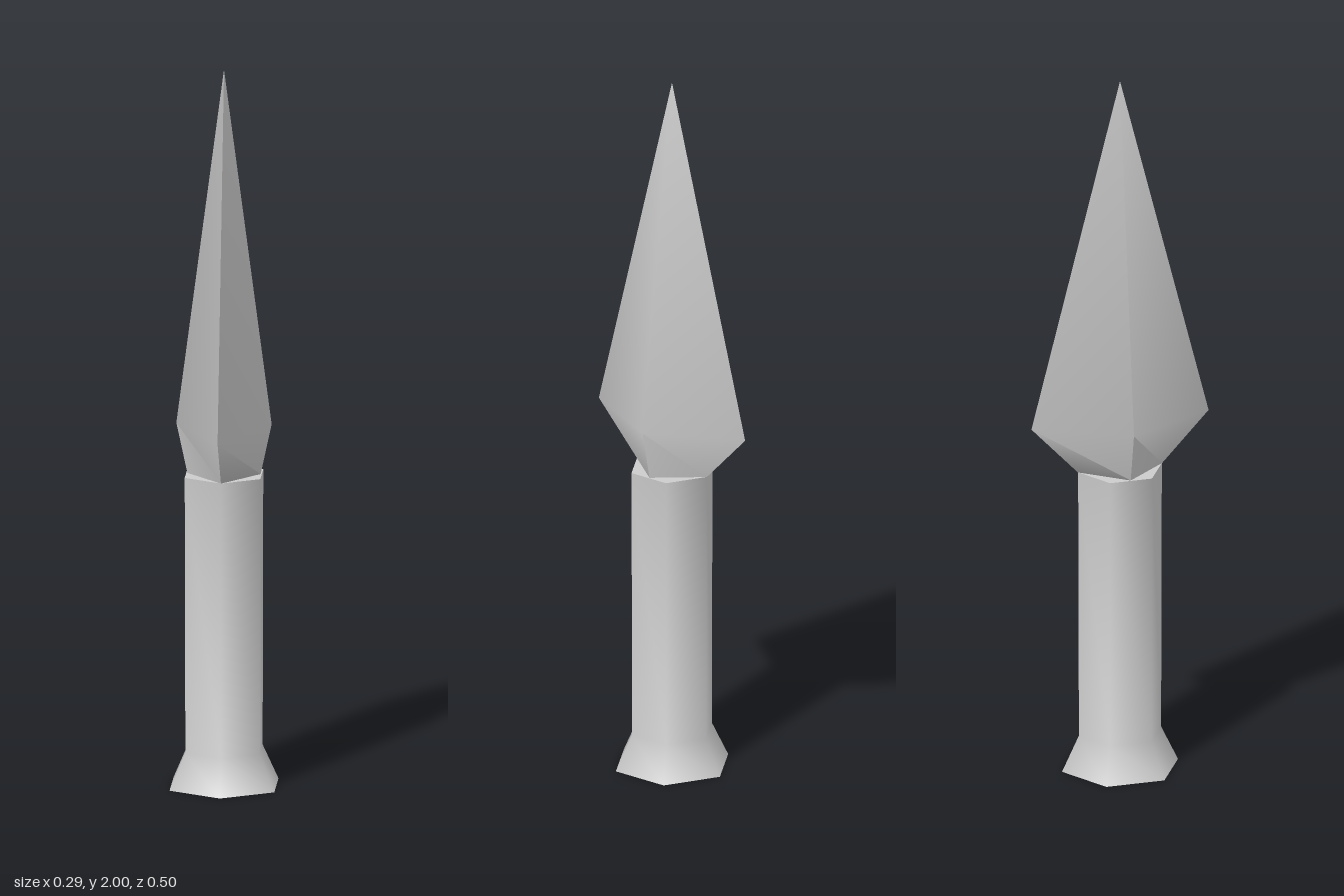
import * as THREE from 'three';
import { toCreasedNormals } from 'three/addons/utils/BufferGeometryUtils.js';

const CREASE = 1.1;

// Faceted solid of revolution; profile is [radius, height] from bottom to top
function faceted(profile, sides) {
  return new THREE.LatheGeometry(profile.map(([r, y]) => new THREE.Vector2(r, y)), sides);
}

export function createModel() {
  const group = new THREE.Group();
  group.name = 'spearHead';
  const material = new THREE.MeshStandardMaterial({ color: 0xcccccc });

  function add(name, geometry) {
    const mesh = new THREE.Mesh(toCreasedNormals(geometry, CREASE), material);
    mesh.name = name;
    group.add(mesh);
  }

  // Hexagonal socket with a flared foot
  add('socket', faceted([[0, 0], [0.165, 0], [0.117, 0.1], [0.119, 0.87], [0, 0.87]], 6));

  // Four-sided blade: the diamond section is wide in z and slim in x
  const blade = faceted([[0, 0.87], [0.12, 0.87], [0.252, 1.01], [0, 2]], 4);
  const pos = blade.attributes.position;
  for (let i = 0; i < pos.count; i++) {
    const slimness = pos.getY(i) < 0.9 ? 0.1 / 0.12 : 0.13 / 0.252;
    pos.setX(i, pos.getX(i) * slimness);
  }
  add('blade', blade);

  // Slight twist about the shaft
  group.children.forEach((part) => { part.rotation.y = 0.03; });
  return group;
}
